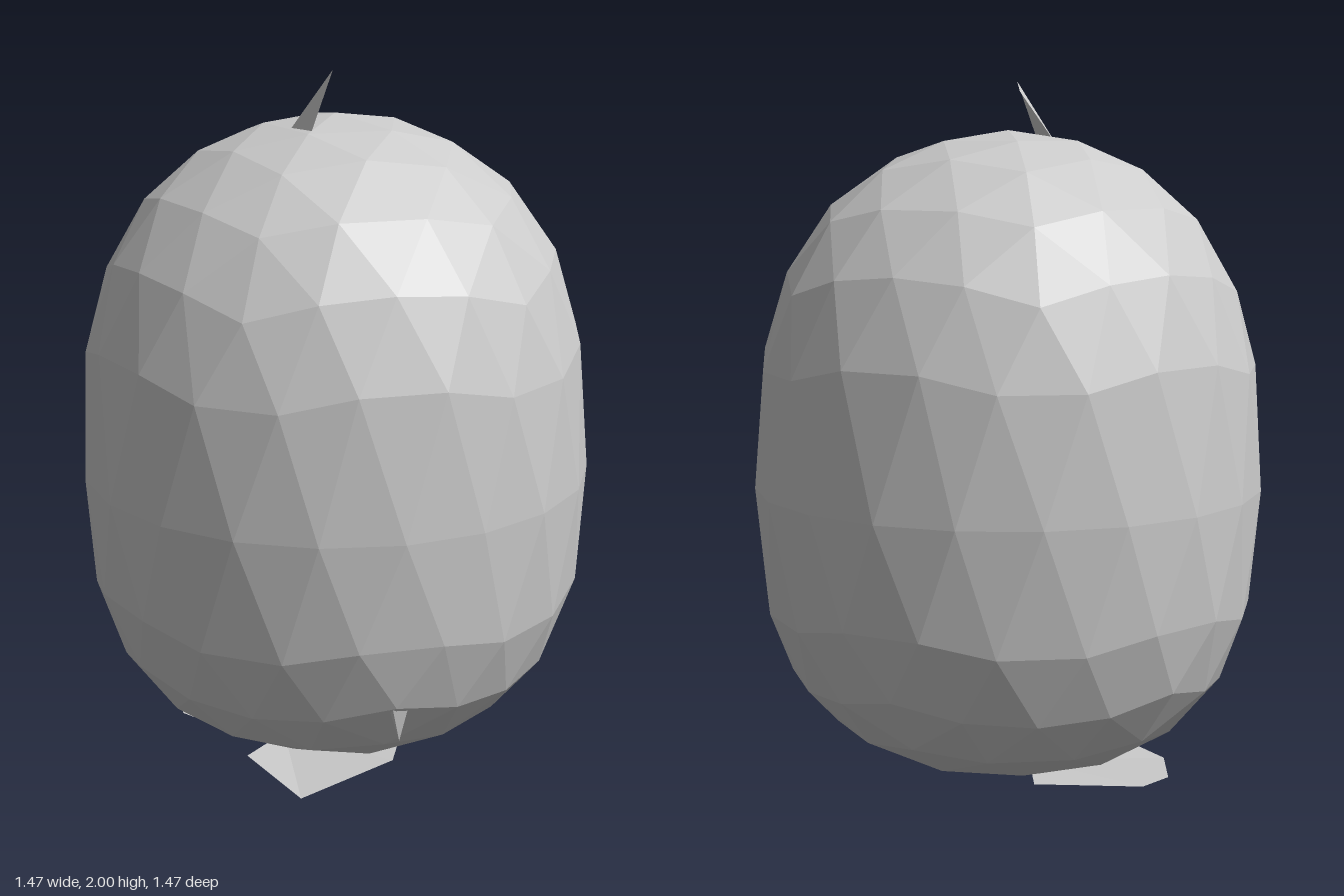
import * as THREE from 'three';

const bodyMaterial = new THREE.MeshStandardMaterial({ color: 0xcccccc, flatShading: true });
const leafMaterial = new THREE.MeshStandardMaterial({
  color: 0xcccccc, flatShading: true, side: THREE.DoubleSide,
});

// Height of the body for each height on the unit sphere
const HEIGHTS = [
  [-1, 0], [-0.962, 0.03], [-0.851, 0.075], [-0.674, 0.18], [-0.447, 0.34], [-0.2325, 0.53],
  [0, 0.84], [0.2325, 1.19], [0.447, 1.41], [0.674, 1.61], [0.851, 1.75], [0.962, 1.83], [1, 1.86],
];

function mapHeight(y) {
  let i = 1;
  while (i < HEIGHTS.length - 1 && y > HEIGHTS[i][0]) i++;
  const [a, ya] = HEIGHTS[i - 1], [b, yb] = HEIGHTS[i];
  return ya + (yb - ya) * (y - a) / (b - a);
}

// Icosahedron with its poles on the y axis, as a list of triangles
function icosahedronFaces() {
  const ring = (y, offset) => Array.from({ length: 5 }, (_, i) => {
    const a = (i + offset) * Math.PI * 2 / 5, r = 2 / Math.sqrt(5);
    return new THREE.Vector3(r * Math.cos(a), y, -r * Math.sin(a));
  });
  const h = 1 / Math.sqrt(5);
  const upper = ring(h, 0), lower = ring(-h, 0.5);
  const top = new THREE.Vector3(0, 1, 0), bottom = new THREE.Vector3(0, -1, 0);
  const faces = [];
  for (let i = 0; i < 5; i++) {
    const j = (i + 1) % 5;
    faces.push([top, upper[i], upper[j]], [upper[i], lower[i], upper[j]],
      [lower[i], lower[j], upper[j]], [bottom, lower[j], lower[i]]);
  }
  return faces;
}

// Split each triangle in four, pushing the new corners out to the sphere
function subdivide(faces) {
  const mid = (p, q) => p.clone().add(q).normalize();
  return faces.flatMap(([a, b, c]) => {
    const ab = mid(a, b), bc = mid(b, c), ca = mid(c, a);
    return [[a, ab, ca], [ab, b, bc], [ca, bc, c], [ab, bc, ca]];
  });
}

function createBody() {
  const points = subdivide(subdivide(icosahedronFaces())).flat()
    .map((p) => new THREE.Vector3(p.x * 0.735, mapHeight(p.y), p.z * 0.735));
  const geometry = new THREE.BufferGeometry().setFromPoints(points);
  geometry.computeVertexNormals();
  const body = new THREE.Mesh(geometry, bodyMaterial);
  body.name = 'fruitBody';
  return body;
}

// Thin faceted scrap made as a fan around its first corner
function createScrap(name, corners) {
  const geometry = new THREE.BufferGeometry()
    .setFromPoints(corners.map((c) => new THREE.Vector3(...c)));
  const index = [];
  for (let i = 1; i < corners.length - 1; i++) index.push(0, i, i + 1);
  geometry.setIndex(index);
  geometry.computeVertexNormals();
  const mesh = new THREE.Mesh(geometry, leafMaterial);
  mesh.name = name;
  return mesh;
}

export function createModel() {
  const model = new THREE.Group();
  model.name = 'fruit';
  model.add(
    createBody(),
    // Stalk on the crown
    createScrap('stalk', [[-0.16, 1.81, 0], [-0.145, 1.82, 0.1], [-0.09, 2, 0.13], [-0.07, 1.97, 0.07]]),
    // Small thorn low on the front
    createScrap('thorn', [[-0.18, 0.23, 0.605], [-0.16, 0.35, 0.625], [-0.215, 0.35, 0.62], [-0.235, 0.39, 0.61]]),
    // Dry leaves under the base
    createScrap('frontLeaf', [[-0.2, 0.025, 0.03], [-0.38, 0.035, 0.12], [-0.37, 0.018, 0.4],
      [-0.06, 0.052, 0.4], [0.08, 0.035, 0.24], [0.02, 0.015, 0.08]]),
    createScrap('backLeaf', [[-0.04, 0.01, -0.06], [0.05, 0.015, -0.28], [-0.22, 0.015, -0.43],
      [-0.32, 0.02, -0.4], [-0.39, 0.025, -0.25], [-0.34, 0.04, -0.03]]),
  );
  return model;
}
